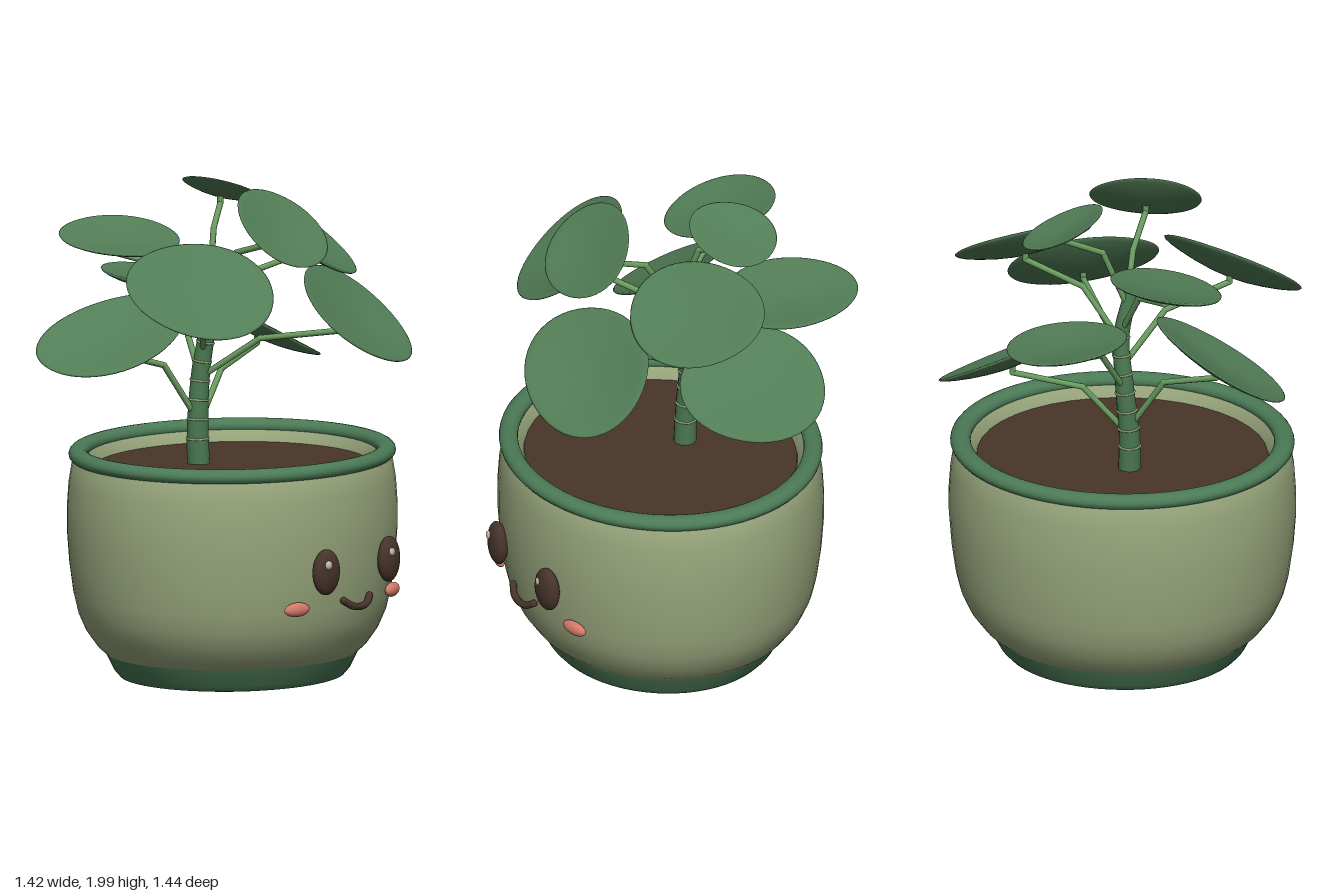
import * as THREE from 'three';
import { mergeVertices } from 'three/addons/utils/BufferGeometryUtils.js';

const V = (x, y, z) => new THREE.Vector3(x, y, z);
const material = (name, color, side = THREE.FrontSide) => {
  const m = new THREE.MeshStandardMaterial({ color, side });
  m.name = name;
  return m;
};

export function createModel() {
  const mats = {
    clay: material('pale sage clay', 0x98a67c),
    glaze: material('green glaze', 0x4b7a56),
    soil: material('soil brown', 0x4a3528),
    leaf: material('leaf green', 0x527d56),
    stem: material('stem green', 0x4a7850),
    petiole: material('petiole green', 0x699c5f),
    ring: material('pale ring green', 0x9db57e),
    dark: material('dark brown', 0x46342a),
    blush: material('blush pink', 0xd47a69),
    shine: material('eye shine', 0xb9bdae),
  };
  const model = new THREE.Group();
  model.name = 'pottedPlant';
  const add = (name, geometry, mat, parent = model) => {
    const mesh = new THREE.Mesh(geometry, mat);
    mesh.name = name;
    parent.add(mesh);
    return mesh;
  };

  // Pot: slightly oval, built from lathed profiles
  const pot = new THREE.Group();
  pot.name = 'pot';
  pot.position.z = 0.04;
  pot.scale.z = 0.92;
  model.add(pot);
  const lathe = (name, pts, mat) =>
    add(name, new THREE.LatheGeometry(pts.map(([x, y]) => new THREE.Vector2(x, y)), 64), mat, pot);
  lathe('potBase', [[0.14, 0.17], [0.14, 0.13], [0.17, 0.1], [0.24, 0.075], [0.32, 0.045], [0.39, 0.015],
    [0.44, 0.004], [0.475, 0.01], [0.498, 0.035], [0.535, 0.105]], mats.glaze);
  lathe('potBody', [[0.535, 0.105], [0.57, 0.135], [0.618, 0.2], [0.65, 0.27], [0.67, 0.35], [0.687, 0.47],
    [0.697, 0.6], [0.697, 0.7], [0.69, 0.8], [0.675, 0.885], [0.65, 0.91]], mats.clay);
  lathe('potInside', [[0.62, 0.91], [0.585, 0.86], [0.575, 0.8], [0.6, 0.6], [0.58, 0.38],
    [0.48, 0.2], [0.14, 0.17]], mats.clay);
  const rim = [];
  for (let i = 0; i <= 16; i++) {
    const a = (i / 16) * Math.PI * 2 - Math.PI / 2;
    rim.push([0.65 + 0.041 * Math.cos(a), 0.91 + 0.031 * Math.sin(a)]);
  }
  lathe('potRim', rim, mats.glaze);
  const soil = add('soil', new THREE.CircleGeometry(0.583, 40), mats.soil, pot);
  soil.rotation.x = -Math.PI / 2;
  soil.position.y = 0.855;

  // Face
  const ellipsoid = (name, mat, pos, size, turn = 0) => {
    const mesh = add(name, new THREE.SphereGeometry(1, 28, 20), mat);
    mesh.position.set(...pos);
    mesh.scale.set(...size);
    mesh.rotation.y = turn;
  };
  for (const s of [-1, 1]) {
    ellipsoid('eye', mats.dark, [s * 0.206, 0.51, 0.672], [0.068, 0.093, 0.037], s * 0.15);
    ellipsoid('eyeShine', mats.shine, [s * 0.206 - 0.02, 0.543, 0.7], [0.018, 0.018, 0.012]);
    ellipsoid('cheek', mats.blush, [s * 0.314, 0.365, 0.607], [0.06, 0.029, 0.022], s * 0.3);
  }
  const smile = new THREE.CatmullRomCurve3([V(-0.085, 0.378, 0.668), V(-0.05, 0.355, 0.682),
    V(0, 0.346, 0.687), V(0.05, 0.355, 0.682), V(0.085, 0.378, 0.668)]);
  add('mouth', new THREE.TubeGeometry(smile, 24, 0.015, 10), mats.dark);
  for (const s of [-1, 1]) ellipsoid('mouthCorner', mats.dark, [s * 0.085, 0.378, 0.668], [0.015, 0.015, 0.015]);

  // Main stem, tapering upwards, with pale growth rings
  const trunk = new THREE.CatmullRomCurve3([V(-0.045, 0.83, -0.095), V(-0.045, 1.0, -0.1),
    V(-0.025, 1.22, -0.1), V(-0.01, 1.42, -0.075), V(-0.045, 1.6, -0.04)]);
  const radiusAt = (t) => 0.047 - 0.019 * t;
  const stemGeo = new THREE.TubeGeometry(trunk, 32, 1, 14);
  const sp = stemGeo.attributes.position;
  for (let i = 0; i < sp.count; i++) {
    const t = Math.floor(i / 15) / 32;
    const c = trunk.getPointAt(t);
    const p = V().fromBufferAttribute(sp, i).sub(c).multiplyScalar(radiusAt(t)).add(c);
    sp.setXYZ(i, p.x, p.y, p.z);
  }
  add('stem', stemGeo, mats.stem);
  ellipsoid('stemTip', mats.stem, [-0.045, 1.6, -0.04], [0.028, 0.02, 0.028]);
  for (let i = 0; i < 7; i++) {
    const t = 0.16 + i * 0.1;
    const ring = add('stemRing', new THREE.TorusGeometry(radiusAt(t), 0.0045, 6, 20), mats.ring);
    ring.position.copy(trunk.getPointAt(t));
    ring.quaternion.setFromUnitVectors(V(0, 0, 1), trunk.getTangentAt(t));
  }

  // Leaf: shallow bowl with an oval outline, laid on the plane y = a*x + b*z
  const bowl = [[0, -1], [0.2, -0.96], [0.4, -0.84], [0.6, -0.66], [0.8, -0.42], [0.93, -0.22], [0.985, -0.1],
    [1, 0], [0.975, 0.06], [0.9, 0.02], [0.7, -0.12], [0.45, -0.28], [0.2, -0.39], [0, -0.43]]
    .map(([x, y]) => new THREE.Vector2(x, y));
  const leafGeometry = (hx, hz, skew, a, b, normal, depth, phase) => {
    let g = new THREE.LatheGeometry(bowl, 48);
    g.deleteAttribute('uv');
    g.deleteAttribute('normal');
    g = mergeVertices(g, 1e-4);
    const pos = g.attributes.position;
    for (let i = 0; i < pos.count; i++) {
      const p = V().fromBufferAttribute(pos, i);
      const wobble = 1 + 0.025 * Math.cos(3 * Math.atan2(p.z, p.x) + phase);
      const x = hx * p.x * wobble;
      const z = hz * (skew * p.x + Math.sqrt(1 - skew * skew) * p.z) * wobble;
      const q = V(x, a * x + b * z, z).addScaledVector(normal, p.y * depth);
      pos.setXYZ(i, q.x, q.y, q.z);
    }
    g.computeVertexNormals();
    return g;
  };

  // Each: centre, half width, half depth, skew, slope in x, slope in z, stem height
  const leaves = [
    [[-0.437, 1.41, -0.235], 0.268, 0.255, 0.33, 0.53, -0.2, 1.03],
    [[-0.225, 1.775, -0.355], 0.225, 0.235, 0.1, 0.13, -0.17, 1.45],
    [[0.17, 1.55, -0.455], 0.238, 0.265, -0.1, -0.08, -0.09, 1.2],
    [[0.215, 1.93, -0.175], 0.158, 0.172, -0.1, -0.42, 0.0, 1.55],
    [[0.44, 1.35, -0.142], 0.265, 0.268, -0.22, -0.45, -0.32, 1.0],
    [[0.41, 1.735, 0.105], 0.265, 0.225, -0.35, -0.36, -0.6, 1.4],
    [[0.22, 1.485, 0.5], 0.3, 0.2, -0.2, -0.29, -0.9, 1.2],
    [[-0.06, 1.853, 0.34], 0.226, 0.147, 0, -0.03, -0.97, 1.5],
    [[-0.43, 1.635, 0.215], 0.285, 0.24, 0.32, 0.39, -0.66, 1.3],
  ];
  leaves.forEach(([c, hx, hz, skew, a, b, height], i) => {
    const normal = V(-a, 1, -b).normalize();
    const depth = 0.11 * (hx + hz);
    const centre = V(...c);
    const leaf = add('leaf', leafGeometry(hx, hz, skew, a, b, normal, depth, i * 1.7), mats.leaf);
    leaf.position.copy(centre);

    // Petiole: rises from the stem, bends at an elbow, then runs out under the leaf
    const start = trunk.getPointAt((height - 0.83) / 0.78);
    const end = centre.clone().addScaledVector(normal, -depth * 0.9);
    const low = end.clone().add(V(0, -0.03, 0));
    const elbow = V(THREE.MathUtils.lerp(start.x, low.x, 0.4), THREE.MathUtils.lerp(start.y, low.y, 0.77),
      THREE.MathUtils.lerp(start.z, low.z, 0.4));
    const path = [start, elbow, low, end];
    for (let k = 0; k < 3; k++) {
      const line = new THREE.LineCurve3(path[k], path[k + 1]);
      add('petiole', new THREE.TubeGeometry(line, 1, 0.0125, 8), mats.petiole);
      if (k) ellipsoid('petioleJoint', mats.petiole, path[k].toArray(), [0.0125, 0.0125, 0.0125]);
    }
  });
  return model;
}
